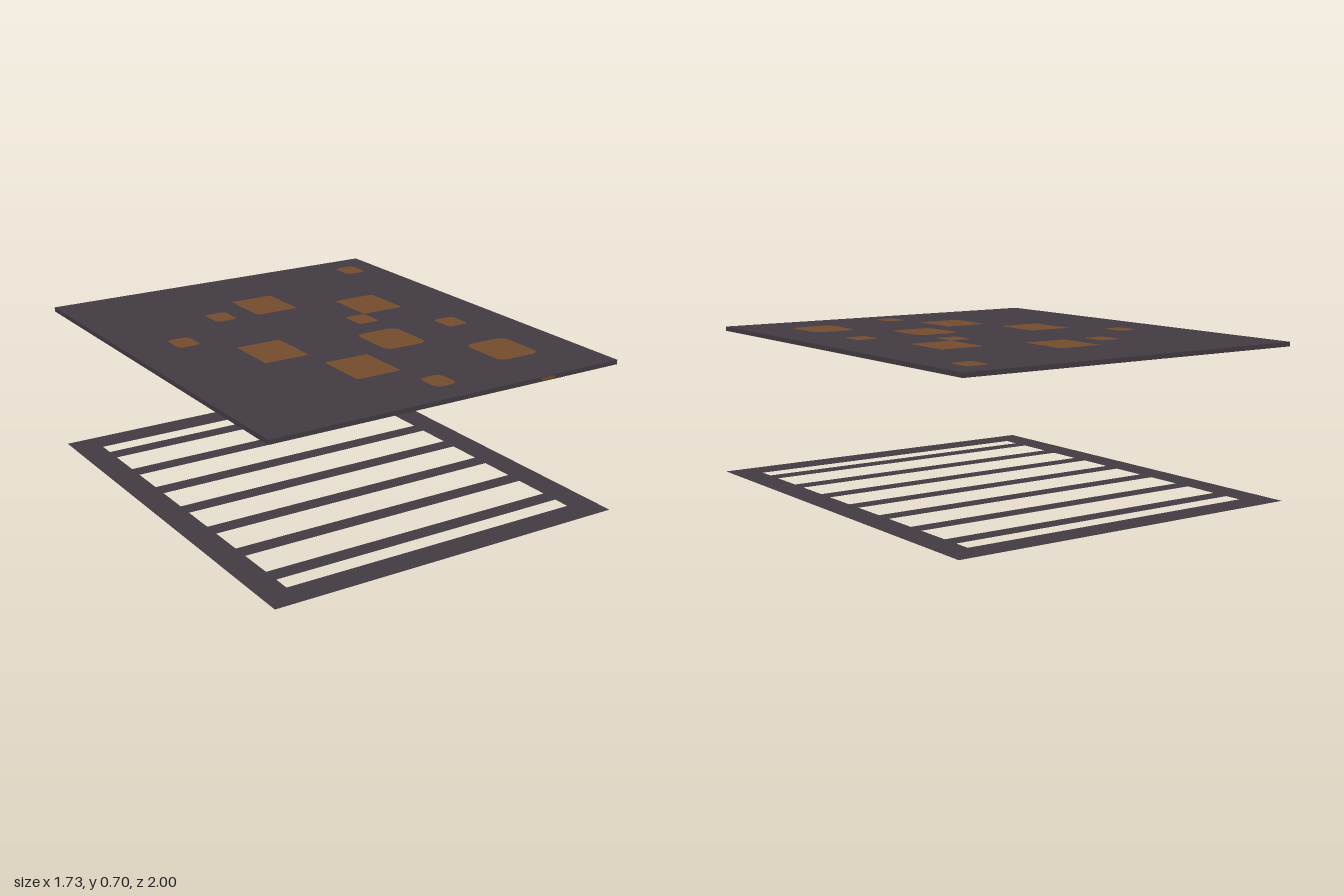
import * as THREE from 'three';

const slate = new THREE.MeshStandardMaterial({ color: 0x433c43, side: THREE.DoubleSide });
slate.name = 'dark slate';
const rust = new THREE.MeshStandardMaterial({ color: 0x754c2c });
rust.name = 'rust brown';

// Rounded rectangle centred on the origin
function roundedRect(w, h, r) {
  const s = new THREE.Shape();
  const x = w / 2, y = h / 2;
  s.moveTo(-x + r, -y);
  s.lineTo(x - r, -y).quadraticCurveTo(x, -y, x, -y + r);
  s.lineTo(x, y - r).quadraticCurveTo(x, y, x - r, y);
  s.lineTo(-x + r, y).quadraticCurveTo(-x, y, -x, y - r);
  s.lineTo(-x, -y + r).quadraticCurveTo(-x, -y, -x + r, -y);
  return s;
}

function rectPath(Type, x0, y0, x1, y1) {
  return new Type([[x0, y0], [x1, y0], [x1, y1], [x0, y1]].map(p => new THREE.Vector2(...p)));
}

export function createModel() {
  const model = new THREE.Group();
  model.name = 'plateAndGrate';
  const add = (geometry, material, name, parent = model) => {
    const mesh = new THREE.Mesh(geometry, material);
    mesh.name = name;
    parent.add(mesh);
    return mesh;
  };

  // Upper plate
  const top = 0.7, bottom = 0.68, width = 1.71, plateX = -0.01;
  add(new THREE.BoxGeometry(width, top - bottom, 2), slate, 'plate')
    .position.set(plateX, (top + bottom) / 2, 0);

  // Rust patches on a 16 x 16 grid: column, row, size in cells, corner radius
  const patches = [
    [7, 3, 2, 0.015], [11, 5, 2, 0.015], [4, 8, 2, 0.012], [9, 9, 2, 0.045], [6, 11, 2, 0.015], [12, 12, 2, 0.045],
    [14, 1, 1, 0.03], [5, 4, 1, 0.02], [2, 6, 1, 0.03], [10, 7, 1, 0.015], [13, 9, 1, 0.02], [8, 14, 1, 0.035],
  ];
  const cellX = width / 16, cellZ = 2 / 16, lift = 0.0015;
  const rustPatches = new THREE.Group();
  rustPatches.name = 'rustPatches';
  model.add(rustPatches);
  for (const [col, row, size, r] of patches) {
    const geometry = new THREE.ShapeGeometry(roundedRect(size * cellX, size * cellZ, r), 4);
    const x = plateX - width / 2 + (col + size / 2) * cellX;
    const z = -1 + (row + size / 2) * cellZ;
    const upper = add(geometry, rust, 'upperPatch', rustPatches);
    upper.rotation.x = -Math.PI / 2;
    upper.position.set(x, top + lift, z);
    // The underside repeats the pattern mirrored front to back
    const lower = add(geometry, rust, 'lowerPatch', rustPatches);
    lower.rotation.x = Math.PI / 2;
    lower.position.set(x, bottom - lift, -z);
  }

  // Small rust fleck on the front edge
  add(new THREE.ShapeGeometry(roundedRect(0.07, 0.014, 0.007), 4), rust, 'edgeFleck')
    .position.set(0.465, 0.69, 1.0005);

  // Lower grate: a flat sheet with slots running side to side
  const sheet = rectPath(THREE.Shape, -width / 2, -1, width / 2, 1);
  const borderX = 0.13, borderZ = 0.13, bar = 0.08, pitch = 0.25;
  for (let i = 0; i < 8; i++) {
    const z0 = i === 0 ? -1 + borderZ : -1 + i * pitch + bar / 2;
    const z1 = i === 7 ? 1 - borderZ : -1 + (i + 1) * pitch - bar / 2;
    sheet.holes.push(rectPath(THREE.Path, -width / 2 + borderX, z0, width / 2 - borderX, z1));
  }
  const grate = add(new THREE.ShapeGeometry(sheet), slate, 'grate');
  grate.rotation.x = -Math.PI / 2;
  grate.position.x = 0.01;

  return model;
}
